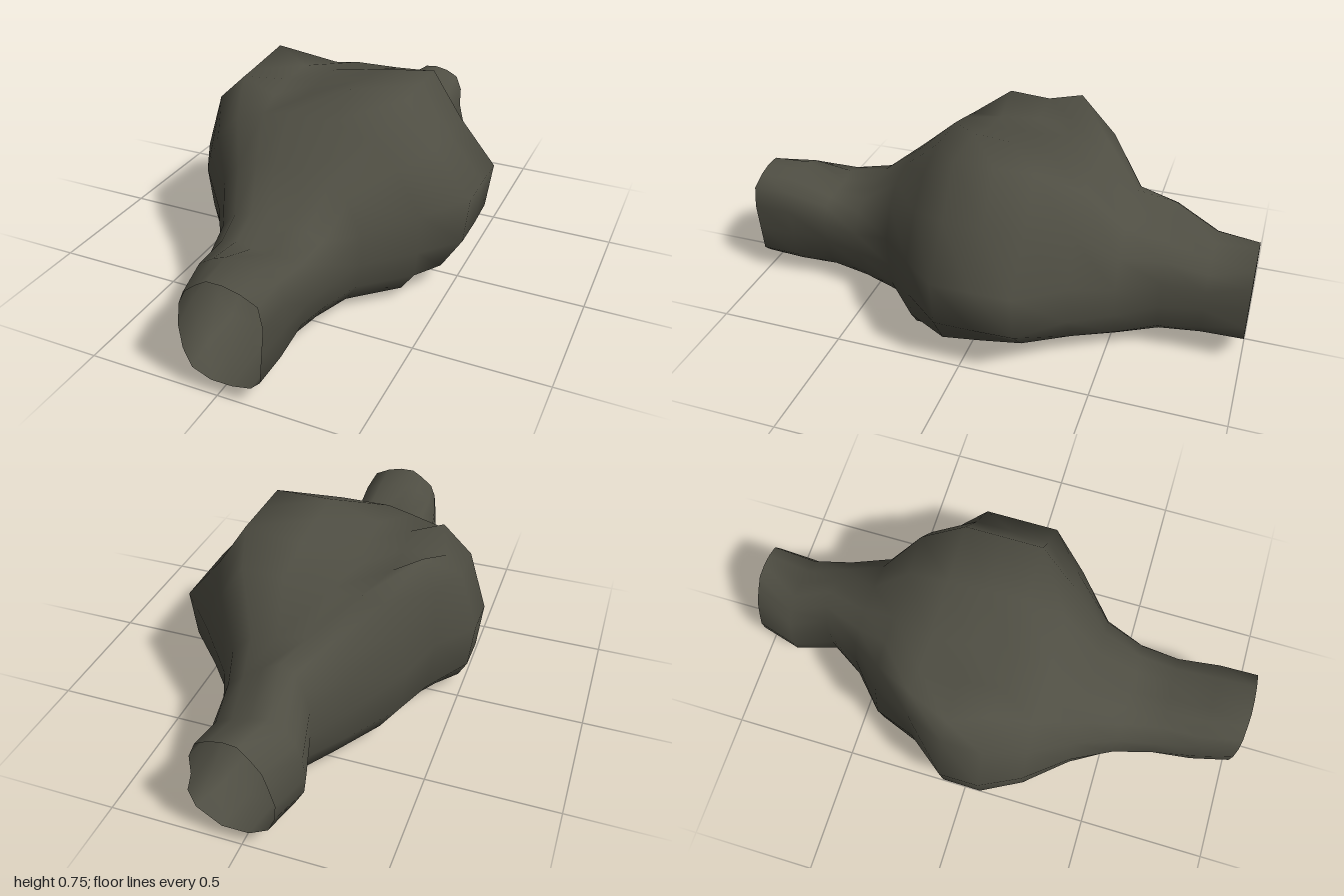
import * as THREE from 'three';

// Cross-sections, each clockwise from the lower left (x, y)
const FRONT_MOUTH = [
  [-0.09, 0.09], [-0.12, 0.16], [-0.13, 0.25], [-0.12, 0.34],
  [-0.1, 0.39], [-0.05, 0.43], [-0.01, 0.455], [0.05, 0.455],
  [0.11, 0.44], [0.17, 0.41], [0.185, 0.33], [0.175, 0.22],
  [0.165, 0.11], [0.13, 0.075], [0.06, 0.06], [-0.02, 0.06],
];
// Neck just inside the front mouth, with a sagging roof
const NECK = [
  [-0.12, 0.09], [-0.17, 0.15], [-0.2, 0.24], [-0.19, 0.33],
  [-0.14, 0.39], [-0.08, 0.405], [-0.02, 0.39], [0.05, 0.385],
  [0.11, 0.385], [0.16, 0.37], [0.185, 0.3], [0.18, 0.22],
  [0.16, 0.13], [0.12, 0.07], [0.05, 0.085], [-0.02, 0.08],
];
// Front slope of the chamber
const SLOPE = [
  [-0.42, 0.05], [-0.46, 0.22], [-0.48, 0.38], [-0.42, 0.54],
  [-0.33, 0.635], [-0.22, 0.665], [-0.12, 0.69], [0.07, 0.69],
  [0.22, 0.64], [0.32, 0.54], [0.415, 0.38], [0.41, 0.22],
  [0.4, 0.12], [0.35, 0.05], [0.06, 0.05], [-0.15, 0.05],
];
// Widest part of the chamber, with a flat floor
const CHAMBER = [
  [-0.48, 0.05], [-0.54, 0.22], [-0.56, 0.405], [-0.49, 0.63],
  [-0.38, 0.735], [-0.25, 0.68], [-0.12, 0.695], [0.07, 0.76],
  [0.29, 0.76], [0.41, 0.58], [0.555, 0.405], [0.535, 0.22],
  [0.455, 0.09], [0.35, 0.05], [0.07, 0.05], [-0.15, 0.05],
];
// Middle of the chamber, where the floor drops to a keel
const KEEL = [
  [-0.42, 0.1], [-0.54, 0.23], [-0.56, 0.405], [-0.49, 0.63],
  [-0.43, 0.7], [-0.27, 0.685], [-0.13, 0.695], [0.07, 0.75],
  [0.29, 0.76], [0.41, 0.58], [0.555, 0.405], [0.535, 0.22],
  [0.44, 0.1], [0.33, 0.05], [0.07, 0.005], [-0.15, 0.005],
];
// Rear of the chamber, with a peak on one shoulder
const REAR = [
  [-0.33, 0.1], [-0.42, 0.2], [-0.445, 0.405], [-0.43, 0.63],
  [-0.38, 0.76], [-0.27, 0.69], [-0.15, 0.69], [0.07, 0.73],
  [0.29, 0.76], [0.41, 0.58], [0.555, 0.405], [0.53, 0.22],
  [0.42, 0.11], [0.31, 0.05], [0.07, 0.005], [-0.15, 0.005],
];
// Flat-topped rear shoulder
const SHOULDER = [
  [-0.29, 0.1], [-0.36, 0.2], [-0.385, 0.38], [-0.35, 0.55],
  [-0.29, 0.655], [-0.2, 0.66], [-0.1, 0.675], [0.08, 0.68],
  [0.235, 0.69], [0.33, 0.55], [0.4, 0.38], [0.38, 0.22],
  [0.31, 0.1], [0.23, 0.045], [0.06, 0.01], [-0.13, 0.01],
];
// Raised lump on the rear passage
const LUMP = [
  [-0.09, 0.09], [-0.12, 0.16], [-0.13, 0.26], [-0.13, 0.37],
  [-0.11, 0.45], [-0.08, 0.52], [-0.03, 0.55], [0.04, 0.51],
  [0.11, 0.46], [0.17, 0.41], [0.195, 0.33], [0.185, 0.22],
  [0.17, 0.12], [0.13, 0.08], [0.06, 0.06], [-0.02, 0.06],
];
const REAR_MOUTH = [
  [-0.1, 0.11], [-0.125, 0.17], [-0.13, 0.23], [-0.11, 0.3],
  [-0.09, 0.36], [-0.05, 0.41], [-0.01, 0.45], [0.04, 0.455],
  [0.09, 0.445], [0.14, 0.42], [0.165, 0.36], [0.165, 0.28],
  [0.185, 0.2], [0.16, 0.13], [0.07, 0.07], [-0.03, 0.07],
];
// Rings: z, left x, right x, bottom y, top y, two sections and their blend
const RINGS = [
  [-1, -0.13, 0.185, 0.07, 0.455, REAR_MOUTH, REAR_MOUTH, 0],
  [-0.84, -0.175, 0.185, 0.068, 0.445, REAR_MOUTH, LUMP, 0.5],
  [-0.68, -0.13, 0.195, 0.06, 0.55, LUMP, LUMP, 0],
  [-0.525, -0.23, 0.265, 0.015, 0.56, LUMP, SHOULDER, 0.5],
  [-0.38, -0.385, 0.4, 0.01, 0.69, SHOULDER, SHOULDER, 0],
  [-0.22, -0.445, 0.555, 0.005, 0.76, REAR, REAR, 0],
  [-0.07, -0.56, 0.555, 0.005, 0.76, KEEL, KEEL, 0],
  [0.08, -0.56, 0.555, 0.05, 0.76, CHAMBER, CHAMBER, 0],
  [0.23, -0.48, 0.415, 0.05, 0.69, SLOPE, SLOPE, 0],
  [0.385, -0.34, 0.25, 0.052, 0.56, SLOPE, NECK, 0.3],
  [0.54, -0.245, 0.205, 0.06, 0.435, SLOPE, NECK, 0.7],
  [0.69, -0.2, 0.185, 0.07, 0.41, NECK, NECK, 0],
  [0.85, -0.17, 0.185, 0.055, 0.455, NECK, FRONT_MOUTH, 0.8],
  [1, -0.13, 0.185, 0.065, 0.455, FRONT_MOUTH, FRONT_MOUTH, 0],
];

// Scale a section to the unit square
function normalise(points) {
  const xs = points.map((p) => p[0]), ys = points.map((p) => p[1]);
  const x0 = Math.min(...xs), x1 = Math.max(...xs);
  const y0 = Math.min(...ys), y1 = Math.max(...ys);
  return points.map(([x, y]) => [(x - x0) / (x1 - x0), (y - y0) / (y1 - y0)]);
}

// Open skin lofted through the rings
function tunnelGeometry() {
  const n = FRONT_MOUTH.length;
  const positions = [], index = [];
  const lerp = THREE.MathUtils.lerp;
  RINGS.forEach(([z, x0, x1, y0, y1, first, second, blend], i) => {
    const p = normalise(first), q = normalise(second);
    for (let j = 0; j < n; j++) {
      const u = lerp(p[j][0], q[j][0], blend);
      const v = lerp(p[j][1], q[j][1], blend);
      positions.push(lerp(x0, x1, u), lerp(y0, y1, v), z);
      if (i === RINGS.length - 1) continue;
      const a = i * n + j, b = i * n + ((j + 1) % n);
      index.push(a, a + n, b, b, a + n, b + n);
    }
  });
  const geometry = new THREE.BufferGeometry();
  geometry.setAttribute('position', new THREE.Float32BufferAttribute(positions, 3));
  geometry.setIndex(index);
  geometry.computeVertexNormals();
  return geometry;
}

export function createModel() {
  const group = new THREE.Group();
  group.name = 'caveTunnel';
  const rock = new THREE.MeshStandardMaterial({ color: 0x4f4e43, side: THREE.DoubleSide });
  rock.name = 'dark olive rock';

  // Chamber with an open passage at each end
  const shell = new THREE.Mesh(tunnelGeometry(), rock);
  shell.name = 'chamberAndPassages';
  group.add(shell);
  return group;
}
